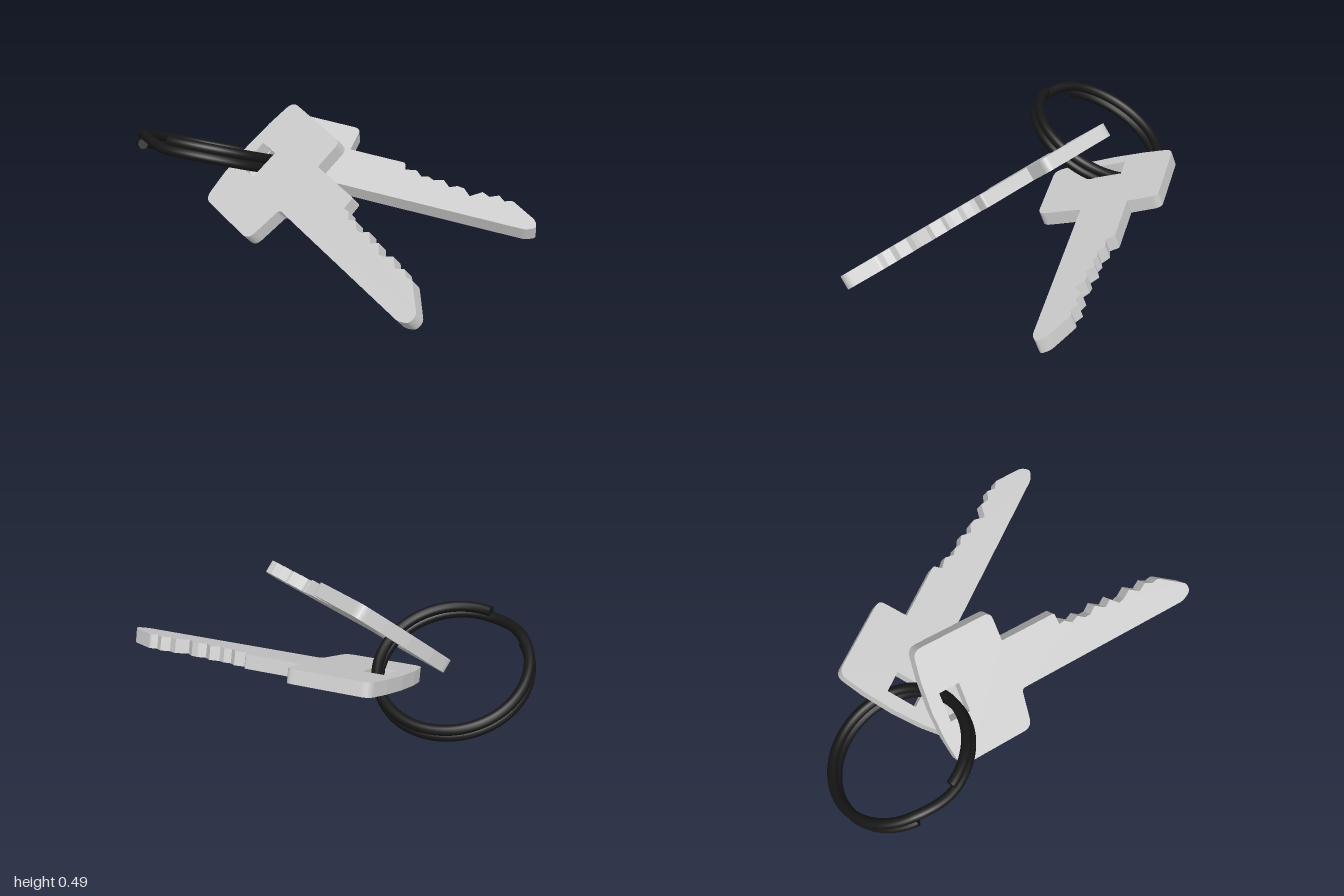
import * as THREE from 'three';

const V = (x, y, z) => new THREE.Vector3(x, y, z);

// Outline through points [x, y, radius]; corners with a radius are rounded
function roundedShape(points) {
  const shape = new THREE.Shape();
  const pts = points.map(([x, y]) => new THREE.Vector2(x, y));
  points.forEach(([, , r = 0], i) => {
    const p = pts[i];
    const prev = pts[(i + pts.length - 1) % pts.length];
    const next = pts[(i + 1) % pts.length];
    const a = p.clone().add(prev.clone().sub(p).setLength(r));
    const b = p.clone().add(next.clone().sub(p).setLength(r));
    if (i === 0) shape.moveTo(a.x, a.y);
    else shape.lineTo(a.x, a.y);
    if (r > 0) shape.quadraticCurveTo(p.x, p.y, b.x, b.y);
  });
  shape.closePath();
  return shape;
}

// Flat key: x runs across the head, y from head to tip; origin on the upper face
function makeKey(name, { origin, across, along, bladeEdge, teeth, tip }, material) {
  const shape = roundedShape([
    [-0.312, -0.232, 0.045],
    [-0.16, -0.257],
    [0, -0.266],
    [0.16, -0.26],
    [0.312, -0.242, 0.045],
    [0.307, 0.168, 0.035],
    [0.155, 0.172],
    [0.153, 0.46, 0.012],
    ...teeth,
    ...tip,
    [bladeEdge, 0.18, 0.02],
    [-0.309, 0.158, 0.045],
  ]);
  // Slot for the ring
  shape.holes.push(new THREE.Path([
    [-0.082, -0.2], [-0.082, -0.095], [0.07, -0.095], [0.07, -0.2],
  ].map(([x, y]) => new THREE.Vector2(x, y))));

  const geometry = new THREE.ExtrudeGeometry(shape, {
    depth: 0.068, bevelEnabled: false, curveSegments: 6,
  });
  const w = across.clone().normalize();
  const down = w.clone().cross(along).normalize();
  const u = down.clone().cross(w);
  geometry.applyMatrix4(new THREE.Matrix4().makeBasis(w, u, down).setPosition(origin));
  const mesh = new THREE.Mesh(geometry, material);
  mesh.name = name;
  return mesh;
}

// Two-turn split ring: one flat turn, a short crossover, then a second flat turn
class SplitRingCurve extends THREE.Curve {
  constructor(center, normal, radius, pitch) {
    super();
    Object.assign(this, { center, radius, pitch });
    this.n = normal.clone().normalize();
    this.e1 = V(1, 0, 0).addScaledVector(this.n, -this.n.x).normalize();
    this.e2 = this.e1.clone().cross(this.n);
  }
  getPoint(t, target = V(0, 0, 0)) {
    const deg = 195 + t * 683;
    const a = THREE.MathUtils.degToRad(deg);
    const rise = THREE.MathUtils.smoothstep(deg, 515, 558) - 0.5;
    return target.copy(this.center)
      .addScaledVector(this.e1, this.radius * Math.cos(a))
      .addScaledVector(this.e2, this.radius * Math.sin(a))
      .addScaledVector(this.n, rise * this.pitch);
  }
}

function makeRing(material) {
  const ring = new THREE.Group();
  ring.name = 'splitRing';
  const wire = 0.025;
  const curve = new SplitRingCurve(V(-0.292, 0.208, -0.635), V(0.408, 0.887, -0.217), 0.343, 0.044);
  const coil = new THREE.Mesh(new THREE.TubeGeometry(curve, 160, wire, 12), material);
  coil.name = 'ringCoil';
  ring.add(coil);
  // Cut ends of the wire
  for (const t of [0, 1]) {
    const cap = new THREE.Mesh(new THREE.CircleGeometry(wire, 12), material);
    const dir = curve.getTangent(t).multiplyScalar(t ? 1 : -1);
    cap.quaternion.setFromUnitVectors(V(0, 0, 1), dir);
    cap.position.copy(curve.getPoint(t));
    cap.name = 'ringEnd';
    ring.add(cap);
  }
  return ring;
}

export function createModel() {
  const model = new THREE.Group();
  model.name = 'keysOnRing';
  const metal = new THREE.MeshStandardMaterial({ color: 0xcccccc, flatShading: true });
  const black = new THREE.MeshStandardMaterial({ color: 0x161616 });

  // Steeply tilted key with wavy teeth
  model.add(makeKey('steepKey', {
    origin: V(-0.25, 0.269, -0.15),
    across: V(0.76, 0.637, 0.126),
    along: V(-0.069, -0.114, 0.991),
    bladeEdge: -0.11,
    teeth: [
      [0.092, 0.465], [0.095, 0.495], [0.068, 0.53], [0.085, 0.565], [0.06, 0.6],
      [0.06, 0.63], [0.088, 0.665], [0.055, 0.715], [0.08, 0.75], [0.042, 0.79],
      [0.05, 0.82], [0.078, 0.86], [0.045, 0.91], [0.07, 0.95], [0.05, 0.985],
    ],
    tip: [[0.058, 1.02, 0.012], [-0.04, 1.163, 0.025], [-0.085, 1.16, 0.02], [-0.11, 1.11, 0.02]],
  }, metal));

  // Shallow key with stepped teeth
  model.add(makeKey('shallowKey', {
    origin: V(0.041, 0.175, -0.303),
    across: V(0.83, 0.322, -0.456),
    along: V(0.498, -0.059, 0.865),
    bladeEdge: -0.08,
    teeth: [
      [0.11, 0.475], [0.122, 0.53], [0.09, 0.565], [0.1, 0.6], [0.085, 0.63],
      [0.102, 0.675], [0.065, 0.715], [0.085, 0.75], [0.08, 0.785], [0.04, 0.825],
      [0.085, 0.875], [0.065, 0.915], [0.088, 0.955], [0.06, 0.99],
    ],
    tip: [[0.075, 1.025, 0.01], [-0.012, 1.165, 0.025], [-0.055, 1.178, 0.015], [-0.08, 1.135, 0.02]],
  }, metal));

  model.add(makeRing(black));
  return model;
}
